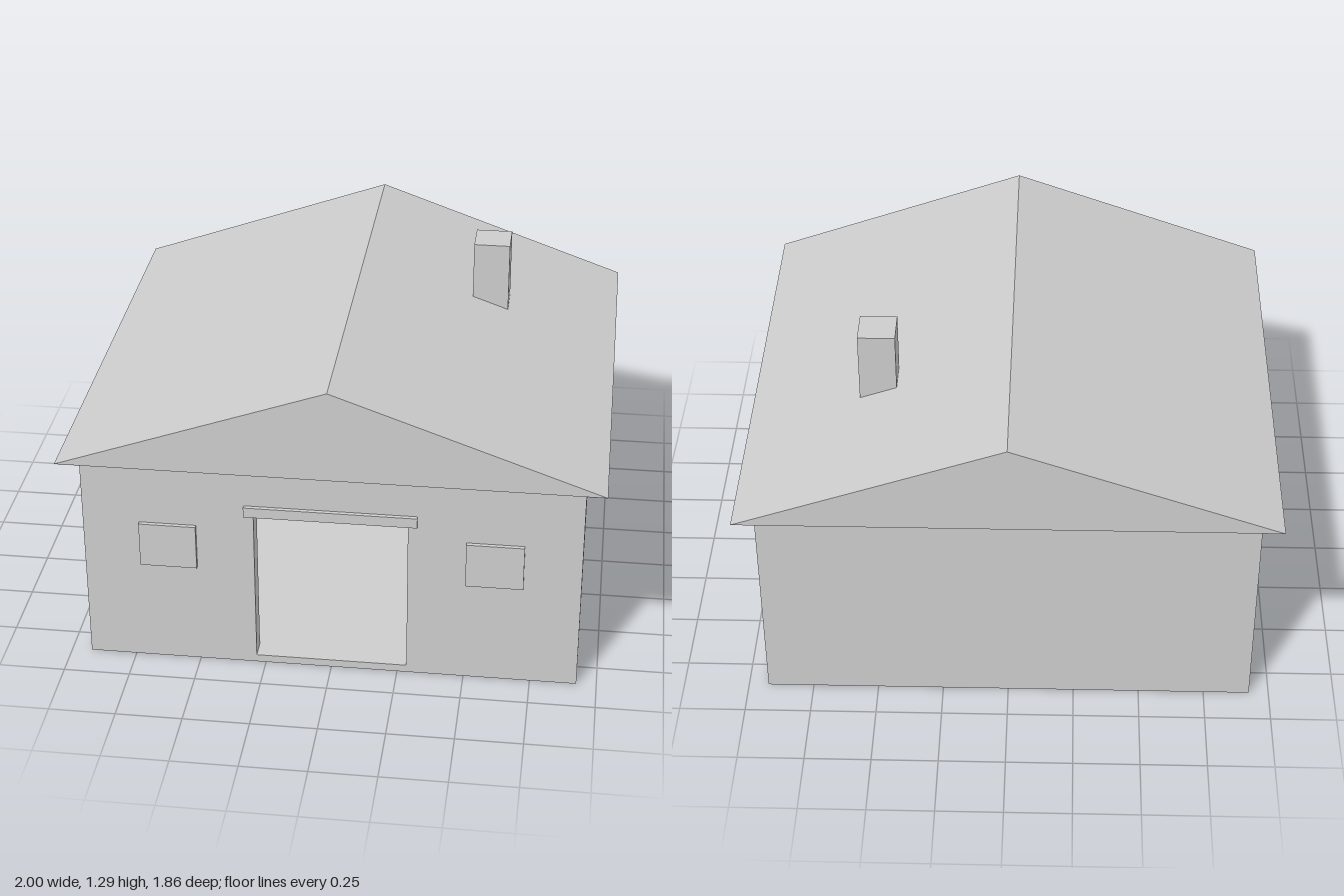
import * as THREE from 'three';

export function createModel() {
  const house = new THREE.Group();
  house.name = 'house';
  const grey = new THREE.MeshStandardMaterial({ color: 0xcccccc });
  grey.name = 'plain grey';

  const W = 0.925, D = 0.86, H = 0.86, T = 0.075; // half width, half depth, wall height, wall thickness

  const add = (name, geometry) => {
    const mesh = new THREE.Mesh(geometry, grey);
    mesh.name = name;
    house.add(mesh);
    return mesh;
  };
  // Box given by its extents on each axis
  const block = (name, [x0, x1], [y0, y1], [z0, z1]) =>
    add(name, new THREE.BoxGeometry(x1 - x0, y1 - y0, z1 - z0))
      .position.set((x0 + x1) / 2, (y0 + y1) / 2, (z0 + z1) / 2);
  const outline = (path, points) => {
    points.forEach(([x, y], i) => (i ? path.lineTo(x, y) : path.moveTo(x, y)));
    path.closePath();
    return path;
  };
  const extrude = (shape, z0, z1) =>
    new THREE.ExtrudeGeometry(shape, { depth: z1 - z0, bevelEnabled: false }).translate(0, 0, z0);

  // Front wall with an open doorway
  const front = outline(new THREE.Shape(), [[-W, 0], [W, 0], [W, H], [-W, H]]);
  front.holes.push(outline(new THREE.Path(), [[-0.285, 0.03], [-0.285, 0.65], [0.285, 0.65], [0.285, 0.03]]));
  add('frontWall', extrude(front, D - T, D));

  // Remaining walls and the floor of the hollow room
  block('backWall', [-W, W], [0, H], [-D, -D + T]);
  block('leftWall', [W - T, W], [0, H], [-D + T, D - T]);
  block('rightWall', [-W, -W + T], [0, H], [-D + T, D - T]);
  block('floor', [-W + T, W - T], [0, 0.03], [-D + T, D - T]);

  // Gabled roof overhanging on all sides
  const gable = outline(new THREE.Shape(), [[-1, H], [1, H], [0, 1.215]]);
  add('roof', extrude(gable, -0.93, 0.93));

  // Chimney sunk into the roof slope
  block('chimney', [0.43, 0.57], [0.95, 1.287], [-0.357, -0.215]);

  // Raised details on the front
  block('doorLintel', [-0.32, 0.32], [0.65, 0.69], [D, 0.876]);
  block('leftWindow', [0.5, 0.713], [0.414, 0.592], [D, 0.876]);
  block('rightWindow', [-0.713, -0.5], [0.414, 0.592], [D, 0.876]);

  return house;
}
